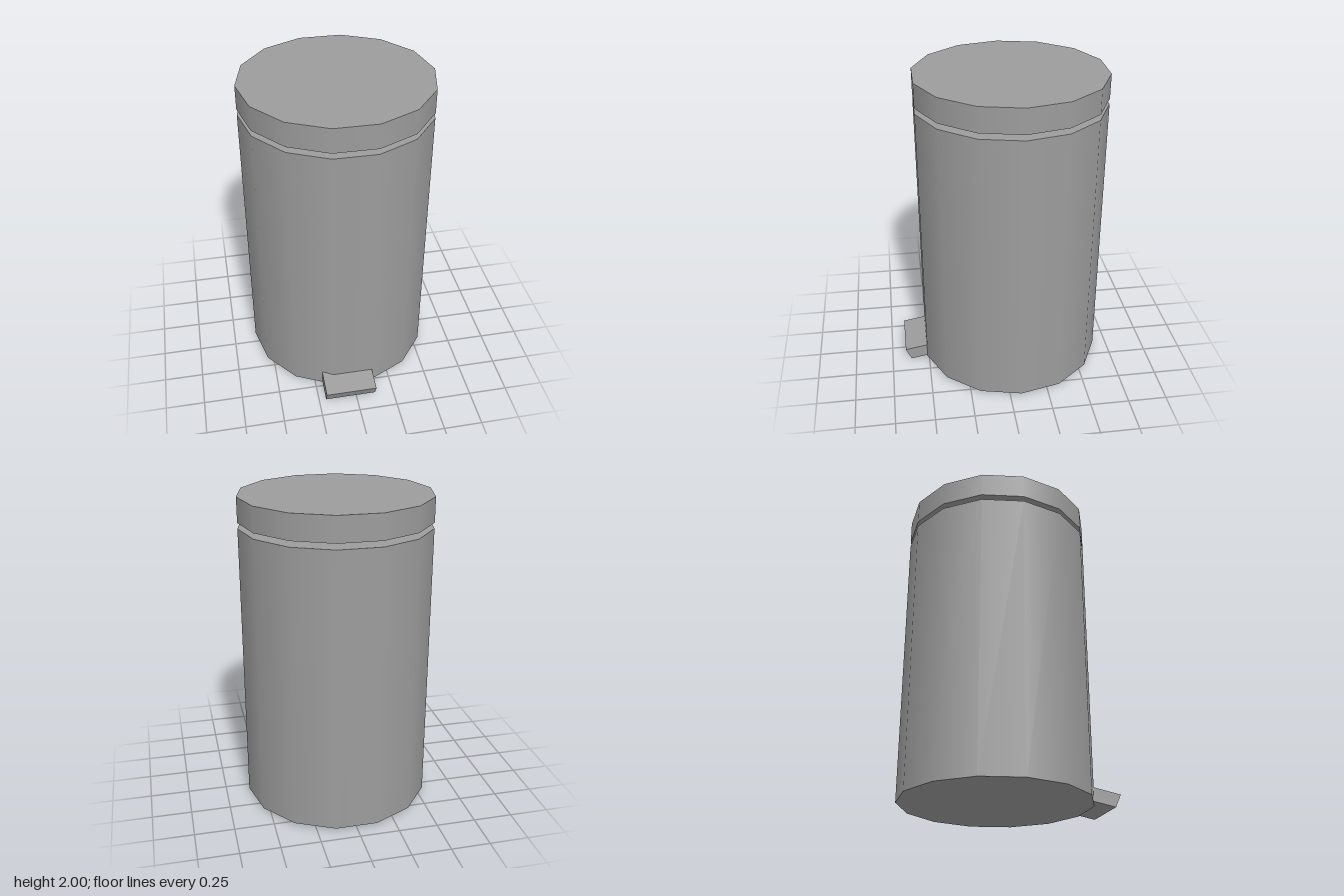
import * as THREE from 'three';

const SIDES = 14;
const RADIUS = 0.6;
const CENTRE_Z = -0.073;

export function createModel() {
  const bin = new THREE.Group();
  bin.name = 'pedalBin';
  const material = new THREE.MeshStandardMaterial({ color: 0x9c9c9c });

  function add(name, geometry) {
    const mesh = new THREE.Mesh(geometry, material);
    mesh.name = name;
    bin.add(mesh);
  }

  // Capped drum with smooth sides and a corner facing +x
  function drum(bottom, top) {
    const g = new THREE.CylinderGeometry(RADIUS, RADIUS, top - bottom, SIDES, 1, false, Math.PI / 2);
    return g.translate(0, (bottom + top) / 2, CENTRE_Z);
  }

  // Body and lid, separated by a thin open gap
  add('body', drum(0.014, 1.81));
  add('lid', drum(1.845, 2));

  // Foot pedal: slanted side profile (z, y), running back into the body
  const profile = new THREE.Shape([
    new THREE.Vector2(0.622, 0),
    new THREE.Vector2(0.658, 0.08),
    new THREE.Vector2(0.39, 0.127),
    new THREE.Vector2(0.354, 0.047),
  ]);
  const pedal = new THREE.ExtrudeGeometry(profile, { depth: 0.333, bevelEnabled: false });
  pedal.rotateY(-Math.PI / 2).translate(0.129, 0, 0);
  add('pedal', pedal);

  return bin;
}
